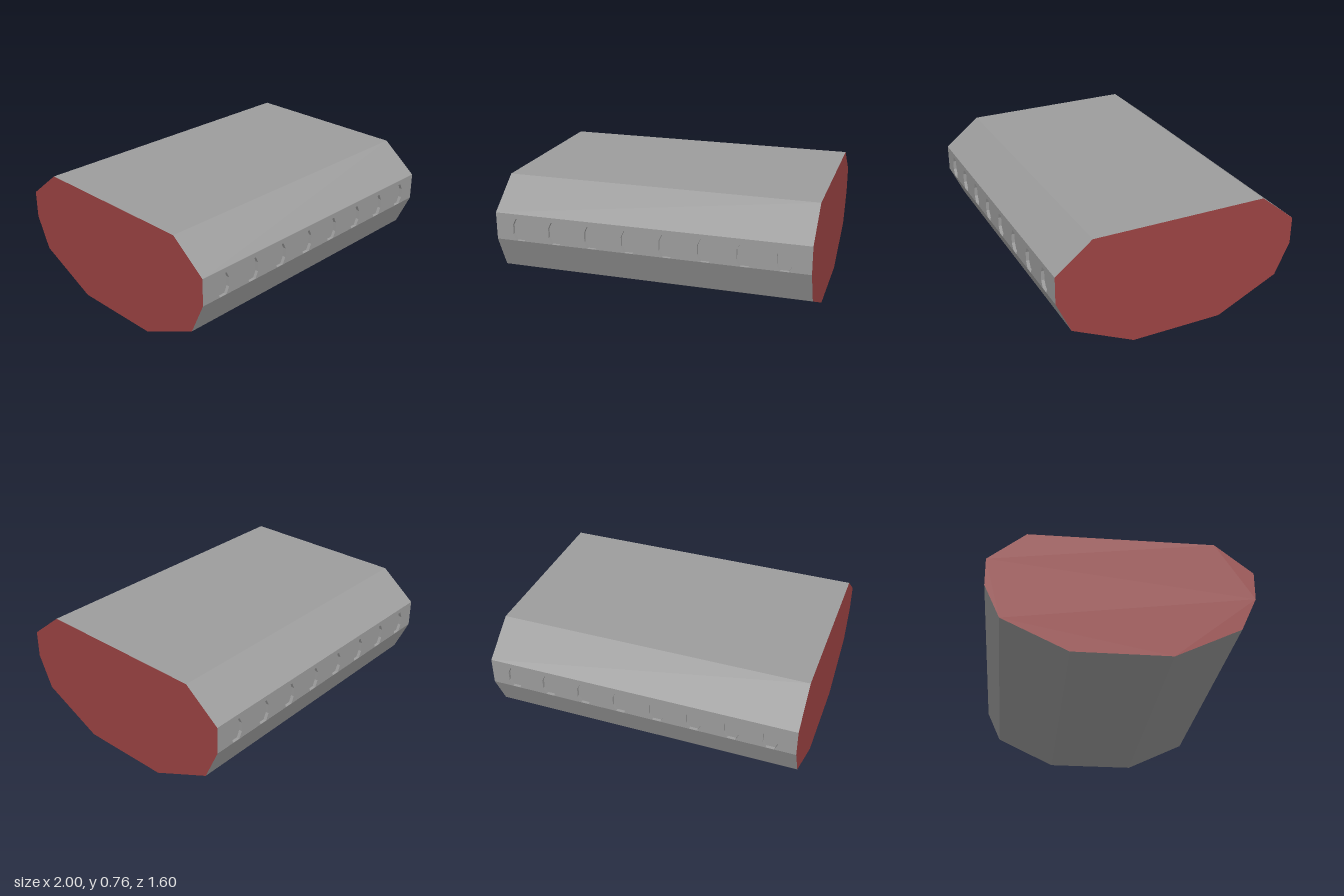
import * as THREE from 'three';

const grey = new THREE.MeshStandardMaterial({ color: 0x9c9c9c, flatShading: true });
const red = new THREE.MeshStandardMaterial({ color: 0x9c4343, flatShading: true });

// Half of the hull section as [z, y], from the belly up to the roof
const wallZ = 0.8, wallLow = 0.402, wallHigh = 0.578;
const half = [[0.3, 0], [0.705, 0.193], [wallZ, wallLow], [wallZ, wallHigh], [0.567, 0.764]];
const section = [...half, ...half.map(([z, y]) => [-z, y]).reverse()];

// Elongated octagon of a window, counter-clockwise around its centre
const windowY = 0.475, recess = 0.02;
const octagon = [
  [0.046, -0.03], [0.046, 0.03], [0.026, 0.072], [-0.026, 0.072],
  [-0.046, 0.03], [-0.046, -0.03], [-0.026, -0.072], [0.026, -0.072],
];
const windowXs = Array.from({ length: 8 }, (_, i) => -0.84 + i * 0.24);

function add(parent, name, geometry, material = grey) {
  const mesh = new THREE.Mesh(geometry, material);
  mesh.name = name;
  parent.add(mesh);
  return mesh;
}

// Flat geometry from four-cornered faces
function quads(faces) {
  const pos = [];
  for (const [a, b, c, d] of faces) pos.push(...a, ...b, ...c, ...a, ...c, ...d);
  const g = new THREE.BufferGeometry();
  g.setAttribute('position', new THREE.Float32BufferAttribute(pos, 3));
  g.computeVertexNormals();
  return g;
}

const toShape = (pts) => new THREE.Shape(pts.map(([x, y]) => new THREE.Vector2(x, y)));

// Side wall with window openings, each with a shallow recess and a pane
function createSideWall(name) {
  const wall = new THREE.Group();
  wall.name = name;
  const shape = toShape([[-1, wallLow], [1, wallLow], [1, wallHigh], [-1, wallHigh]]);
  for (const x of windowXs) {
    shape.holes.push(new THREE.Path(
      octagon.map(([u, v]) => new THREE.Vector2(x + u, windowY + v)).reverse()));
  }
  add(wall, 'windowBand', new THREE.ShapeGeometry(shape));

  const rim = quads(octagon.map(([u, v], i) => {
    const [s, t] = octagon[(i + 1) % octagon.length];
    return [[u, v, 0], [s, t, 0], [s, t, -recess], [u, v, -recess]];
  }));
  const pane = new THREE.ShapeGeometry(toShape(octagon));
  for (const x of windowXs) {
    add(wall, 'windowRim', rim).position.set(x, windowY, 0);
    add(wall, 'windowPane', pane).position.set(x, windowY, -recess);
  }
  wall.position.z = wallZ;
  return wall;
}

export function createModel() {
  const model = new THREE.Group();
  model.name = 'fuselageSection';

  // Long hull panels, leaving out the two vertical window bands
  const panels = [];
  section.forEach(([z, y], i) => {
    const [z2, y2] = section[(i + 1) % section.length];
    if (z === z2) return;
    panels.push([[-1, y, z], [1, y, z], [1, y2, z2], [-1, y2, z2]]);
  });
  add(model, 'hullPanels', quads(panels));

  // Window walls, front and back
  model.add(createSideWall('frontWall'));
  const back = createSideWall('backWall');
  back.rotation.y = Math.PI;
  back.position.z = -wallZ;
  model.add(back);

  // Coloured bulkheads closing both ends
  const cap = new THREE.ShapeGeometry(toShape(section));
  for (const side of [1, -1]) {
    const end = add(model, side > 0 ? 'leftBulkhead' : 'rightBulkhead', cap, red);
    end.rotation.y = side * Math.PI / 2;
    end.position.x = side;
  }
  return model;
}
